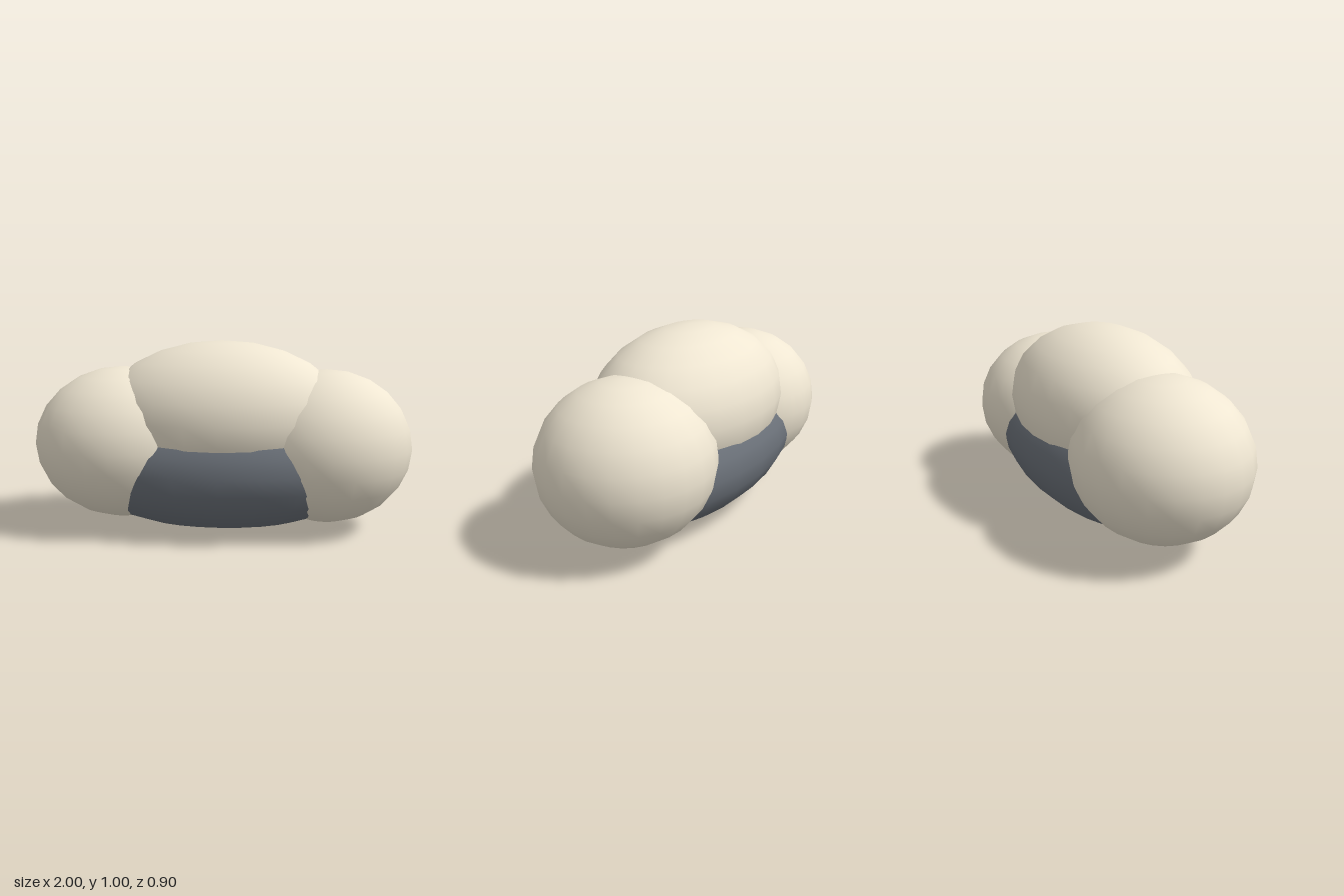
import * as THREE from 'three';

export function createModel() {
  const group = new THREE.Group();
  const cream = new THREE.MeshStandardMaterial({ color: 0xefe6d2 });
  const slate = new THREE.MeshStandardMaterial({ color: 0x6c727a });
  const ball = new THREE.SphereGeometry(1, 24, 12);

  // One stretched ball: centre x and y, then its three radii
  function puff(name, material, x, y, rx, ry, rz) {
    const mesh = new THREE.Mesh(ball, material);
    mesh.name = name;
    mesh.position.set(x, y, 0);
    mesh.scale.set(rx, ry, rz);
    group.add(mesh);
  }

  // Cloud of overlapping puffs with a dark underside
  puff('topPuff', cream, 0, 0.6, 0.65, 0.4, 0.436);
  puff('leftPuff', cream, 0.55, 0.445, 0.45, 0.405, 0.436);
  puff('rightPuff', cream, -0.53, 0.46, 0.47, 0.403, 0.436);
  puff('darkUnderside', slate, 0, 0.35, 0.85, 0.35, 0.449);

  return group;
}
